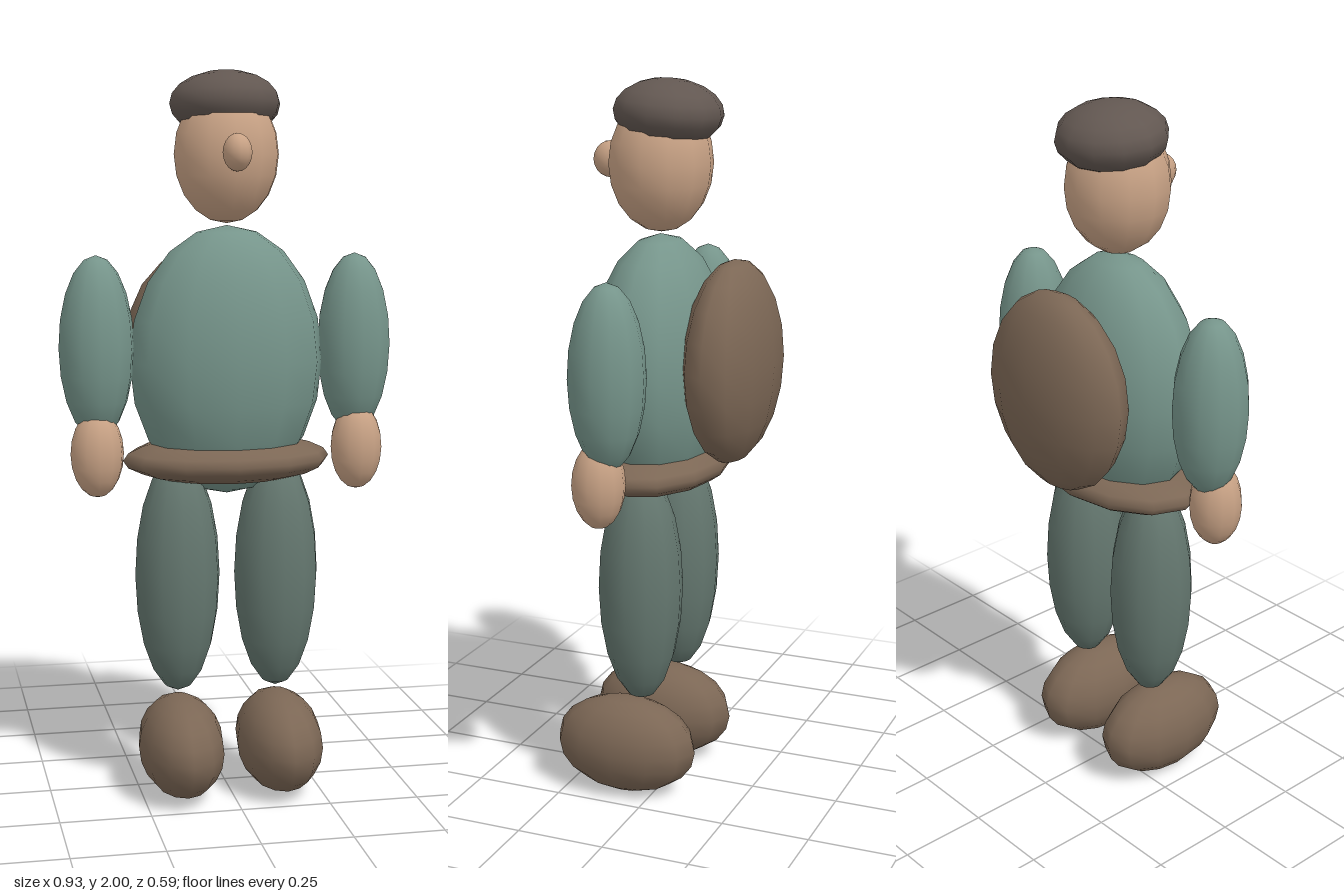
import * as THREE from 'three';

const material = (color) => new THREE.MeshStandardMaterial({ color });

export function createModel() {
  const model = new THREE.Group();
  const skin = material(0xc8a285);
  const cloth = material(0x76958b);
  const trousers = material(0x64776f);
  const leather = material(0x7c6755);
  const felt = material(0x625751);

  // Every part is a smooth, low-poly ellipsoid
  const ball = new THREE.SphereGeometry(1, 12, 10);
  const blob = (name, mat, position, radii) => {
    const mesh = new THREE.Mesh(ball, mat);
    mesh.name = name;
    mesh.position.set(...position);
    mesh.scale.set(...radii);
    model.add(mesh);
    return mesh;
  };

  // Body and belt
  blob('torso', cloth, [0, 1.215, 0.035], [0.27, 0.37, 0.182]);
  blob('belt', leather, [0, 0.943, 0.035], [0.29, 0.067, 0.188]);
  blob('backpack', leather, [0, 1.247, -0.18], [0.25, 0.28, 0.117]);

  // Head, nose and cap
  blob('head', skin, [0, 1.775, 0.032], [0.145, 0.185, 0.143]);
  blob('nose', skin, [0, 1.78, 0.18], [0.04, 0.05, 0.05]);
  const cap = blob('cap', felt, [0, 1.91, 0.01], [0.153, 0.09, 0.15]);
  cap.rotation.x = -0.08;

  // Limbs, mirrored left and right
  for (const [side, s] of [['left', 1], ['right', -1]]) {
    blob(side + 'Arm', cloth, [s * 0.36, 1.257, 0.035], [0.103, 0.25, 0.104]);
    blob(side + 'Hand', skin, [s * 0.364, 0.97, 0.06], [0.073, 0.12, 0.072]);
    blob(side + 'Leg', trousers, [s * 0.14, 0.62, 0.037], [0.119, 0.335, 0.118]);
    blob(side + 'Boot', leather, [s * 0.14, 0.14, 0.085], [0.119, 0.14, 0.21]);
  }
  return model;
}
